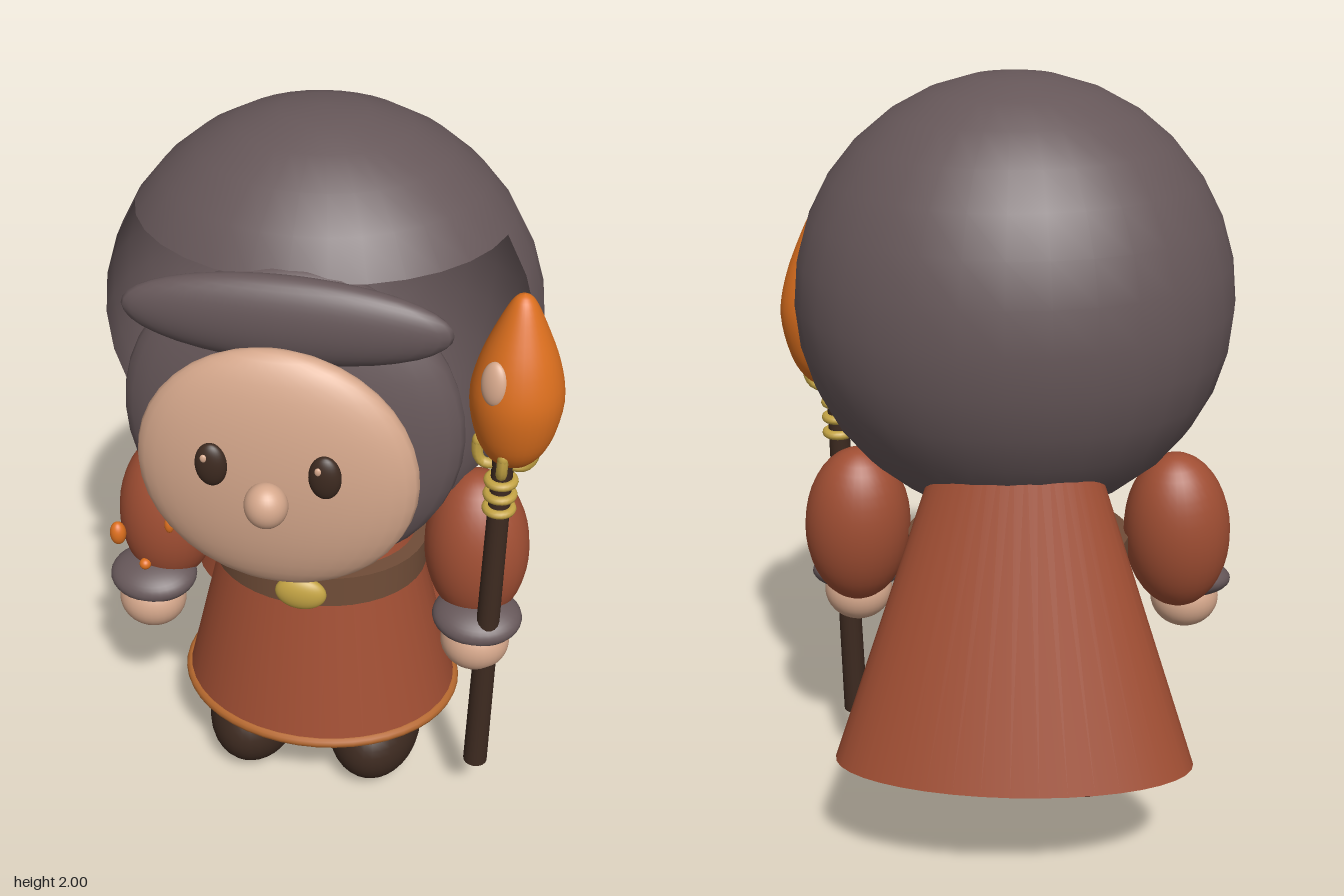
import * as THREE from 'three';

const CX = -0.025; // body's middle line, pushed aside by the staff

function mat(name, color, side = THREE.FrontSide) {
  const m = new THREE.MeshStandardMaterial({ color, side });
  m.name = name;
  return m;
}

export function createModel() {
  const root = new THREE.Group();
  root.name = 'hoodedFigure';

  const grey = mat('hoodGrey', 0x665759, THREE.DoubleSide);
  const red = mat('robeRust', 0xa04e33);
  const skin = mat('skin', 0xd6a88c);
  const dark = mat('darkBrown', 0x3d2a20);
  const brown = mat('beltBrown', 0x704d38);
  const gold = mat('gold', 0xc4a444);
  const orange = mat('flameOrange', 0xdc6f1e);
  const hemMat = mat('hemOrange', 0xb5682e);

  function add(name, geo, material, pos = [0, 0, 0], scale = [1, 1, 1], rot = [0, 0, 0], parent = root) {
    const m = new THREE.Mesh(geo, material);
    m.name = name;
    m.position.set(...pos);
    m.scale.set(...scale);
    m.rotation.set(...rot);
    parent.add(m);
    return m;
  }
  const ball = new THREE.SphereGeometry(1, 32, 20);
  const blob = (name, material, pos, scale, rot) => add(name, ball, material, pos, scale, rot);

  // Hood: a hollow sphere whose front cells below the brow are left out
  const hood = new THREE.SphereGeometry(1, 32, 16);
  const p = hood.attributes.position, src = hood.index.array, kept = [];
  for (let i = 0; i < src.length; i += 3) {
    const tri = [src[i], src[i + 1], src[i + 2]];
    const y = tri.reduce((s, v) => s + p.getY(v), 0) / 3;
    const z = tri.reduce((s, v) => s + p.getZ(v), 0) / 3;
    if (!(y < 0.556 && z > 0.2)) kept.push(...tri);
  }
  hood.setIndex(kept);
  add('hood', hood, grey, [CX + 0.005, 1.45, -0.05], [0.543, 0.55, 0.48]);

  // Head
  blob('hoodRim', grey, [-0.02, 1.375, 0.315], [0.403, 0.407, 0.125]);
  blob('hoodBrow', grey, [-0.015, 1.695, 0.4], [0.37, 0.105, 0.057]);
  blob('face', skin, [-0.02, 1.35, 0.48], [0.325, 0.315, 0.09]);
  blob('nose', skin, [-0.022, 1.325, 0.582], [0.05, 0.055, 0.048]);
  for (const s of [-1, 1]) {
    const x = -0.021 + s * 0.128;
    blob('eye', dark, [x, 1.405, 0.563], [0.037, 0.055, 0.022]);
    blob('eyeGlint', skin, [x - 0.012, 1.43, 0.58], [0.008, 0.01, 0.005]);
  }

  // Robe, hem and belt
  const DEPTH = 0.83, bodyZ = -0.055;
  add('robe', new THREE.CylinderGeometry(0.205, 0.385, 0.76, 40), red, [-0.03, 0.65, bodyZ], [1, 1, DEPTH]);
  add('robeHem', new THREE.TorusGeometry(0.378, 0.016, 10, 48), hemMat,
    [-0.03, 0.282, bodyZ], [1, DEPTH, 1], [Math.PI / 2, 0, 0]);
  add('robeUnderside', new THREE.CylinderGeometry(0.378, 0.378, 0.008, 40), hemMat,
    [-0.03, 0.27, bodyZ], [1, 1, DEPTH]);
  add('belt', new THREE.CylinderGeometry(0.29, 0.29, 0.092, 40), brown, [-0.03, 0.768, -0.04], [1, 1, 0.84]);
  blob('buckle', gold, [-0.03, 0.77, 0.212], [0.068, 0.05, 0.028]);

  // Cape: a flattened cone leaning forward into the hood
  const capeH = 0.87, lean = 0.135;
  add('cape', new THREE.CylinderGeometry(0.37, 1, capeH, 40), red,
    [-0.035, 0.35 + capeH / 2 * Math.cos(lean), -0.417 + capeH / 2 * Math.sin(lean)],
    [0.45, 1, 0.217], [lean, 0, 0]);

  // Arms, legs and boots
  for (const s of [-1, 1]) {
    const side = s < 0 ? 'right' : 'left';
    const hx = CX - 0.007 + s * 0.447;
    blob(side + 'Sleeve', red, [CX + s * 0.42, 0.815, -0.025], [0.139, 0.222, 0.127], [-0.1, 0, s * 0.06]);
    blob(side + 'Cuff', grey, [hx, 0.64, 0.055], [0.12, 0.05, 0.1], [0.2, 0, 0]);
    blob(side + 'Hand', skin, [hx, 0.575, 0.075], [0.092, 0.085, 0.085]);
    const lx = -0.037 + s * 0.175;
    add(side + 'Leg', new THREE.CylinderGeometry(0.085, 0.085, 0.2, 24), skin, [lx, 0.28, -0.07]);
    blob(side + 'Boot', dark, [lx, 0.15, 0.005], [0.131, 0.145, 0.187]);
  }

  // Sleeve beads on the right arm
  blob('sleeveBead', orange, [-0.56, 0.79, 0.09], [0.022, 0.035, 0.022]);
  blob('sleeveBead', orange, [-0.412, 0.845, 0.097], [0.013, 0.025, 0.013]);
  blob('sleeveBead', orange, [-0.49, 0.695, 0.09], [0.016, 0.016, 0.016]);

  // Staff with rings, claws and flame
  const foot = new THREE.Vector3(0.443, 0.17, 0.118), top = new THREE.Vector3(0.456, 1.2, 0.088);
  const axis = top.clone().sub(foot);
  const shaft = add('staffShaft', new THREE.CylinderGeometry(0.027, 0.033, axis.length(), 16), dark,
    foot.clone().add(top).multiplyScalar(0.5).toArray());
  shaft.quaternion.setFromUnitVectors(new THREE.Vector3(0, 1, 0), axis.normalize());
  for (const y of [1.03, 1.073, 1.115]) {
    add('staffRing', new THREE.TorusGeometry(0.032, 0.012, 10, 24), gold, [0.454, y, 0.091], [1, 1, 1], [Math.PI / 2, 0, 0]);
  }
  for (let i = 0; i < 4; i++) {
    const a = i * Math.PI / 2, c = Math.cos(a), s = Math.sin(a);
    const curve = new THREE.QuadraticBezierCurve3(
      new THREE.Vector3(0.456 + 0.025 * c, 1.16, 0.088 + 0.025 * s),
      new THREE.Vector3(0.458 + 0.075 * c, 1.15, 0.088 + 0.075 * s),
      new THREE.Vector3(0.46 + 0.07 * c, 1.225, 0.088 + 0.07 * s));
    add('flameClaw', new THREE.TubeGeometry(curve, 8, 0.014, 8), gold);
    blob('flameClawTip', gold, curve.getPoint(1).toArray(), [0.014, 0.02, 0.014]);
  }
  const outline = new THREE.SplineCurve([[0, 1.17], [0.05, 1.185], [0.092, 1.25], [0.114, 1.36],
    [0.097, 1.46], [0.058, 1.56], [0.025, 1.625], [0, 1.64]].map(([x, y]) => new THREE.Vector2(x, y)));
  const pts = outline.getPoints(28).map(v => new THREE.Vector2(Math.max(0, v.x), v.y));
  add('flame', new THREE.LatheGeometry(pts, 32), orange, [0.476, 0, 0.085]);
  blob('flameGlint', skin, [0.427, 1.44, 0.168], [0.034, 0.055, 0.02], [-0.2, -0.4, 0]);

  return root;
}
